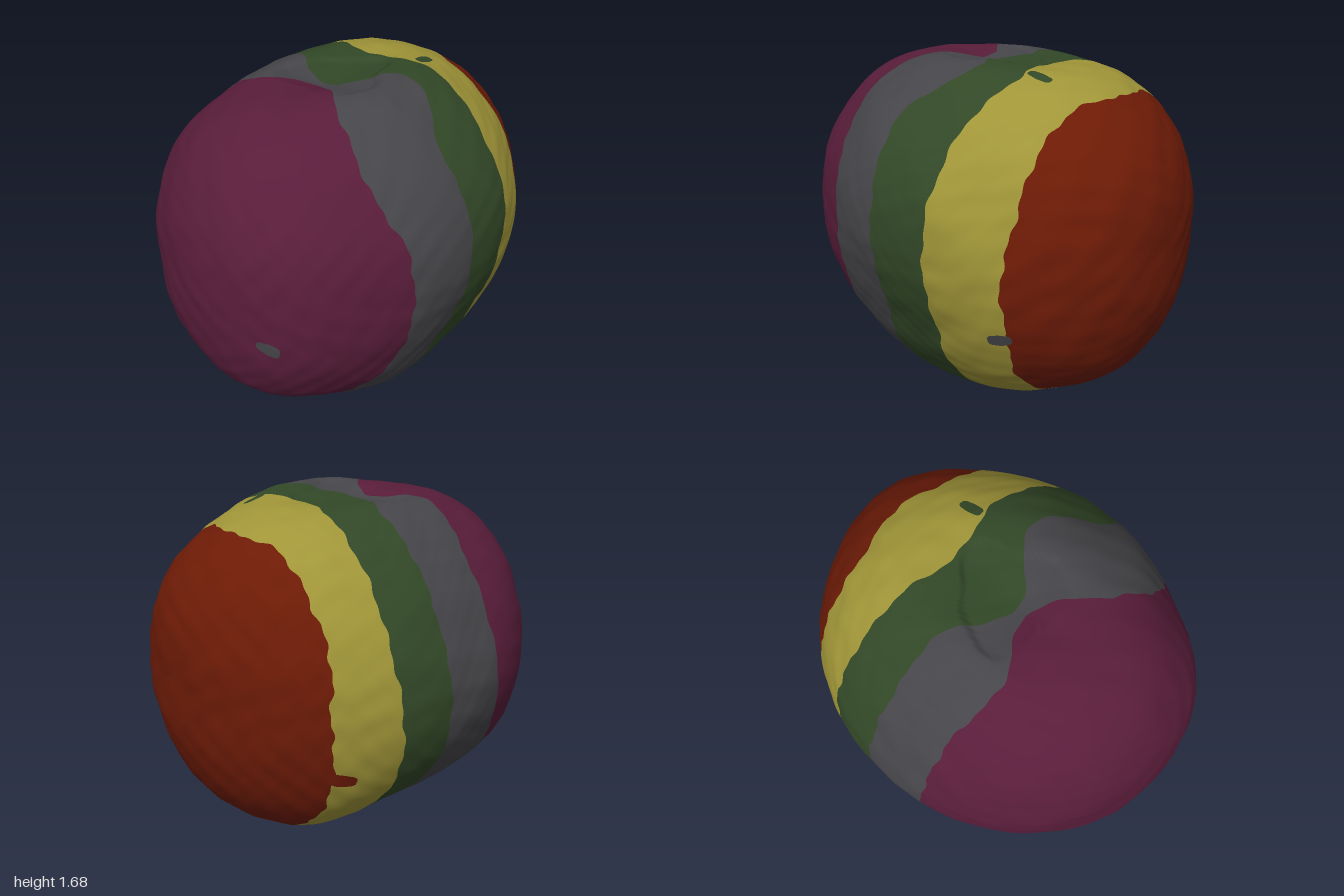
import * as THREE from 'three';

const TAU = Math.PI * 2;
const STEPS = 16; // samples around the x axis: 0 = front, 4 = top, 8 = back, 12 = bottom

// widest cross-section radius around the axis
const RADIUS = [.85, .90, .905, .895, .80, .85, .835, .835, .86, .835, .79, .775, .79, .90, .86, .815];

// x position of each colour border around the axis
const BORDERS = [
  [-.43, -.44, -.48, -.38, -.14, -.27, -.22, -.2, -.2, -.26, -.36, -.46, -.5, -.5, -.52, -.45],
  [-.1, -.09, -.08, .12, -.09, .09, .12, .14, .14, .13, .14, .25, .28, -.1, -.18, -.12],
  [.21, .24, .27, .33, .28, .36, .4, .42, .4, .36, .34, .33, .33, .2, .17, .2],
  [.57, .6, .6, .62, .69, .65, .66, .66, .68, .65, .62, .6, .58, .54, .53, .57],
];

// smooth periodic interpolation of a table by angle
function ring(table, a) {
  const t = ((a / TAU) % 1 + 1) % 1 * STEPS;
  const i = Math.floor(t), f = t - i;
  const [p, q, r, s] = [-1, 0, 1, 2].map(k => table[(i + k + STEPS) % STEPS]);
  return q + .5 * f * (r - p + f * (2 * p - 5 * q + 4 * r - s + f * (3 * (q - r) + s - p)));
}

// hand-moulded lumps
function lumps(x, y, z) {
  return .004 * Math.sin(9 * x + 5 * y + 1) * Math.sin(8 * z - 6 * y)
    + .003 * Math.sin(15 * y + 6 * z + 2 * Math.sin(5 * x)) * Math.sin(13 * x - 9 * z + 2)
    + .0025 * Math.sin(29 * z + 11 * x + 2 * Math.sin(9 * y)) * Math.sin(27 * y - 14 * x + 1)
    + .0012 * Math.sin(41 * y + 12 * z + 3 * Math.sin(7 * x)) * Math.sin(37 * x + 25 * z);
}

// point on the ball: theta runs from the -x pole to the +x pole, a runs around
function surface(theta, a, lift = 0) {
  const x = -Math.cos(theta), s = Math.sin(a), c = Math.cos(a);
  const p = 2.1 + .45 * s * s;
  const f = Math.pow(Math.max(0, 1 - Math.pow(Math.abs(x), p)), 1 / p);
  // the section is irregular in the middle and round towards the ends
  const blend = THREE.MathUtils.smoothstep(Math.abs(x), .1, .65);
  const r = f * THREE.MathUtils.lerp(ring(RADIUS, a), x > 0 ? .86 : .835, blend);
  const v = new THREE.Vector3(x * .995, r * s, r * c);
  v.multiplyScalar(1 + lumps(v.x, v.y, v.z) + lift);
  v.y += .86 + (x > 0 ? .06 * x ** 6 : .025 * x * x * (1 - x * x) * 4);
  v.z += .07 * x ** 4;
  // shallow sunken patch on the crown, open towards -x
  if (s > 0) {
    const turn = Math.atan2(v.z - .01, v.x + .03);
    const d = Math.hypot(v.x + .03, v.z - .01) / (.25 + .045 * Math.sin(3 * turn + 1) + .02 * Math.sin(5 * turn));
    v.y -= .02 * (1 - THREE.MathUtils.smoothstep(d, .9, 1.04)) * THREE.MathUtils.smoothstep(v.x, -.28, -.08);
  }
  return v;
}

function normalAt(theta, a) {
  const t = Math.min(Math.max(theta, .02), Math.PI - .02), e = .008;
  const dt = surface(t + e, a).sub(surface(t - e, a));
  const da = surface(t, a + e).sub(surface(t, a - e));
  return dt.cross(da).normalize();
}

// piece of the surface between two theta borders
function piece(name, material, from, to, a0, a1, rows, cols, lift = 0) {
  const pos = [], nor = [], index = [];
  for (let i = 0; i <= rows; i++) {
    for (let j = 0; j <= cols; j++) {
      const a = a0 + (a1 - a0) * j / cols;
      const theta = THREE.MathUtils.lerp(from(a), to(a), i / rows);
      pos.push(...surface(theta, a, lift).toArray());
      nor.push(...normalAt(theta, a).toArray());
      if (i < rows && j < cols) {
        const k = i * (cols + 1) + j, m = k + cols + 1;
        index.push(k, m, k + 1, k + 1, m, m + 1);
      }
    }
  }
  const g = new THREE.BufferGeometry();
  g.setAttribute('position', new THREE.Float32BufferAttribute(pos, 3));
  g.setAttribute('normal', new THREE.Float32BufferAttribute(nor, 3));
  g.setIndex(index);
  const mesh = new THREE.Mesh(g, material);
  mesh.name = name;
  return mesh;
}

// small smear of another colour laid over the surface
function smear(name, material, x, angle, halfX, halfA) {
  const a = angle * Math.PI / 180;
  const edge = side => b => {
    const w = Math.sqrt(Math.max(0, 1 - ((b - a) / halfA) ** 4));
    return Math.acos(-(x + side * halfX * w));
  };
  return piece(name, material, edge(-1), edge(1), a - halfA, a + halfA, 6, 12, .004);
}

export function createModel() {
  const group = new THREE.Group();
  group.name = 'stripedBall';
  const paint = (name, color) => {
    const m = new THREE.MeshStandardMaterial({ color });
    m.name = name;
    return m;
  };
  const purple = paint('purple', 0x591d3a);
  const grey = paint('grey', 0x464549);
  const green = paint('green', 0x324827);
  const yellow = paint('yellow', 0xa09538);
  const red = paint('red', 0x6d1b06);

  // slightly ragged borders between the colours
  const borders = BORDERS.map((table, i) => a => Math.acos(-(ring(table, a)
    + .006 * Math.sin(19 * a + 2 * i) + .004 * Math.sin(41 * a + i))));
  const edges = [() => 0, ...borders, () => Math.PI];

  // five stripes from the right end to the left end
  [
    ['purpleEnd', purple, 48], ['greyStripe', grey, 26], ['greenStripe', green, 26],
    ['yellowStripe', yellow, 26], ['redEnd', red, 44],
  ].forEach(([name, material, rows], i) => {
    group.add(piece(name, material, edges[i], edges[i + 1], 0, TAU, rows, 280));
  });

  // stray smears
  group.add(
    smear('greySmearFront', grey, .535, -23, .055, .045),
    smear('greySmearEnd', grey, -.94, -20, .024, .11),
    smear('redSmearBack', red, .62, 206, .07, .05),
    smear('greenSmearTop', green, .39, 74, .06, .035),
  );
  return group;
}
